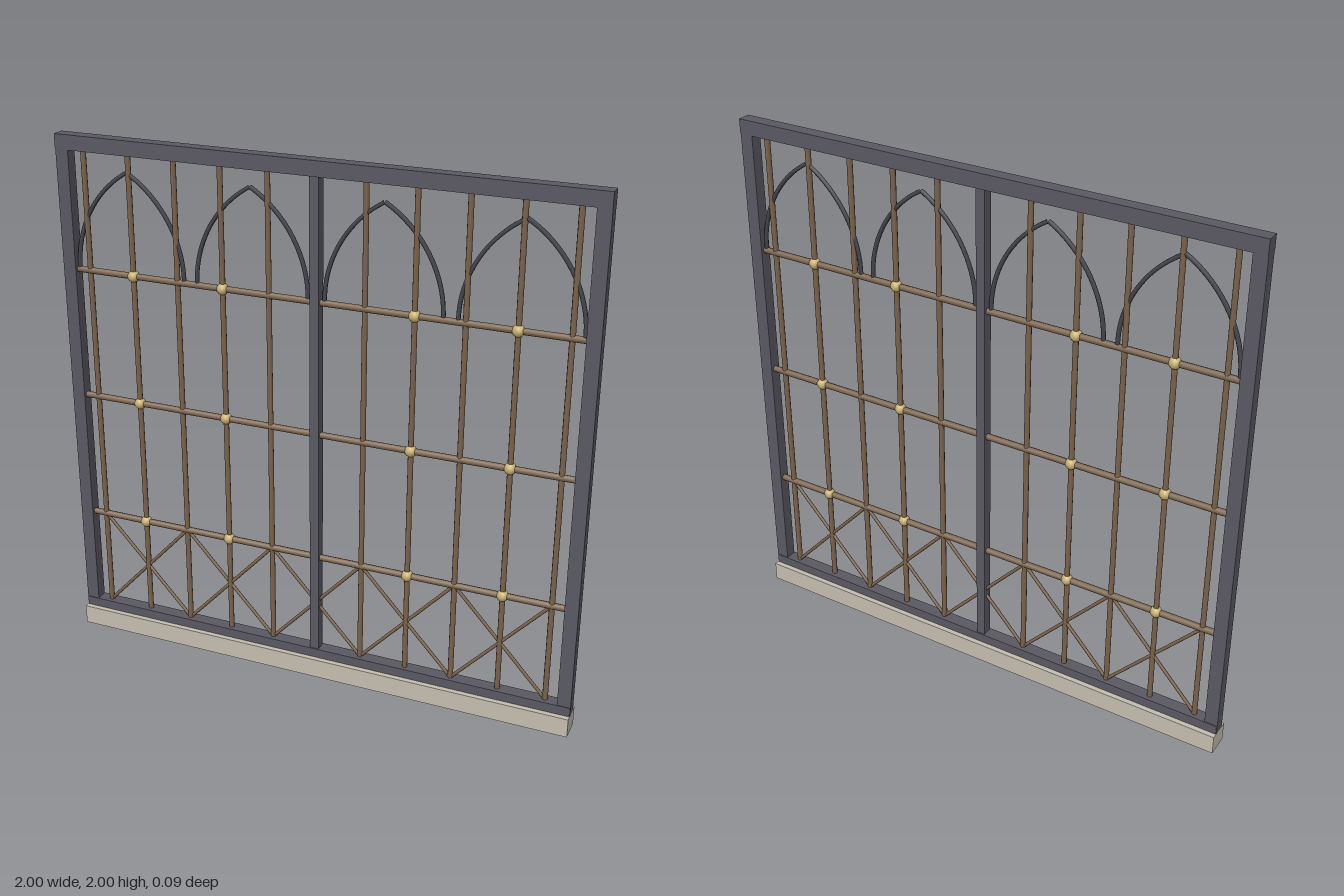
import * as THREE from 'three';

export function createModel() {
  const model = new THREE.Group();
  model.name = 'windowGrille';

  const paint = (name, color) => {
    const m = new THREE.MeshStandardMaterial({ color });
    m.name = name;
    return m;
  };
  const iron = paint('frameIron', 0x5a5963);
  const darkIron = paint('archIron', 0x45464c);
  const bronze = paint('bronzeBars', 0x7a634c);
  const brass = paint('brass', 0xc8b272);
  const stone = paint('sillStone', 0xc4beaf);

  const add = (name, geometry, material, x = 0, y = 0, z = 0) => {
    const mesh = new THREE.Mesh(geometry, material);
    mesh.name = name;
    mesh.position.set(x, y, z);
    model.add(mesh);
    return mesh;
  };
  // Round bar between two points in the window plane
  const bar = (name, x1, y1, x2, y2, radius) => {
    const length = Math.hypot(x2 - x1, y2 - y1);
    const mesh = add(name, new THREE.CylinderGeometry(radius, radius, length, 8), bronze,
      (x1 + x2) / 2, (y1 + y2) / 2);
    mesh.rotation.z = -Math.atan2(x2 - x1, y2 - y1);
  };

  // Sill and outer frame
  add('sill', new THREE.BoxGeometry(2, 0.075, 0.09), stone, 0, 0.0375);
  add('bottomRail', new THREE.BoxGeometry(1.996, 0.037, 0.05), iron, 0, 0.0925);
  add('topRail', new THREE.BoxGeometry(2, 0.055, 0.05), iron, 0, 1.9725);
  for (const s of [-1, 1]) {
    add('sidePost', new THREE.BoxGeometry(0.05, 1.87, 0.045), iron, s * 0.975, 1.01);
  }
  add('centreMullion', new THREE.BoxGeometry(0.035, 1.84, 0.04), iron, 0, 1.028);

  // Upright and horizontal bars
  for (const s of [-1, 1]) {
    for (let i = 1; i <= 5; i++) bar('uprightBar', s * i * 0.18, 0.105, s * i * 0.18, 1.95, 0.0105);
  }
  const rows = [0.5, 1, 1.5];
  for (const y of rows) bar('crossBar', -0.95, y, 0.95, y, 0.0125);

  // Crossed braces along the bottom
  for (let i = 0; i < 5; i++) {
    const left = -0.9 + i * 0.36;
    bar('brace', left, 0.11, left + 0.36, 0.5, 0.0065);
    bar('brace', left, 0.5, left + 0.36, 0.11, 0.0065);
  }

  // Brass knobs at alternate crossings
  const knob = new THREE.SphereGeometry(0.0225, 10, 8);
  for (const y of rows) {
    for (const x of [-0.72, -0.36, 0.36, 0.72]) add('knob', knob, brass, x, y);
  }

  // Pointed arches: each side is an arc centred on the opposite foot
  const span = 0.43, arcPoints = 10;
  for (const cx of [-0.728, -0.246, 0.246, 0.728]) {
    for (const s of [-1, 1]) {
      const points = [];
      for (let i = 0; i <= arcPoints; i++) {
        const a = (i / arcPoints) * Math.PI / 3;
        points.push(new THREE.Vector3(
          cx + s * (span * Math.cos(a) - span / 2), 1.508 + span * Math.sin(a), 0));
      }
      const curve = new THREE.CatmullRomCurve3(points);
      add('archHalf', new THREE.TubeGeometry(curve, 20, 0.008, 6), darkIron);
    }
  }

  return model;
}
